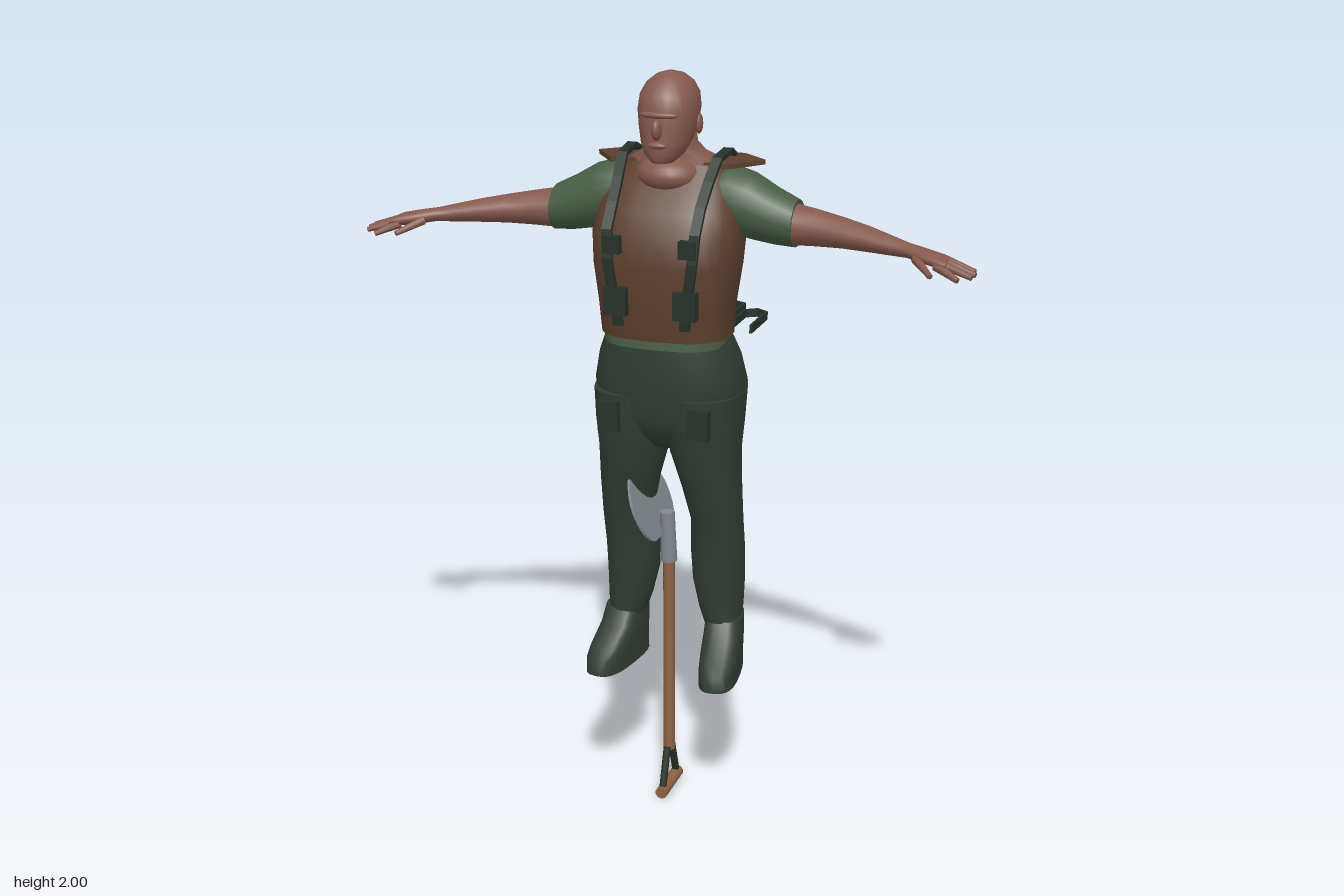
import * as THREE from 'three';

const mat = (name, color) => {
  const m = new THREE.MeshStandardMaterial({ color });
  m.name = name;
  return m;
};

// Skin stitched through rings of n points each, with flat end caps.
function stitch(rings) {
  const n = rings[0].length, pos = [], idx = [];
  rings.forEach(r => r.forEach(p => pos.push(...p)));
  for (let i = 0; i < rings.length - 1; i++) {
    for (let j = 0; j < n; j++) {
      const a = i * n + j, b = i * n + (j + 1) % n;
      idx.push(a, b, a + n, b, b + n, a + n);
    }
  }
  [0, rings.length - 1].forEach((k, end) => {
    const base = pos.length / 3;
    rings[k].forEach(p => pos.push(...p));
    for (let j = 1; j < n - 1; j++) {
      if (end) idx.push(base, base + j, base + j + 1);
      else idx.push(base, base + j + 1, base + j);
    }
  });
  const g = new THREE.BufferGeometry();
  g.setAttribute('position', new THREE.Float32BufferAttribute(pos, 3));
  g.setIndex(idx);
  g.computeVertexNormals();
  return g;
}

// Superellipse sections stacked up y: [y, cx, cz, rx, rz]; e below 1 is boxier.
function loftY(rows, e = 1, n = 24) {
  const pw = v => Math.sign(v) * Math.abs(v) ** e;
  return stitch(rows.map(([y, cx, cz, rx, rz]) => Array.from({ length: n }, (_, j) => {
    const t = j / n * Math.PI * 2;
    return [cx + rx * pw(Math.cos(t)), y, cz - rz * pw(Math.sin(t))];
  })));
}

// Elliptical sections along +x: [x, cy, cz, ry, rz].
function loftX(rows, n = 16) {
  return stitch(rows.map(([x, cy, cz, ry, rz]) => Array.from({ length: n }, (_, j) => {
    const t = j / n * Math.PI * 2;
    return [x, cy - ry * Math.sin(t), cz + rz * Math.cos(t)];
  })));
}

// Flat band following points; w is its width along dir, t its thickness.
function ribbon(points, dir, w, t) {
  const P = points.map(p => new THREE.Vector3(...p)), W = new THREE.Vector3(...dir);
  const g = stitch(P.map((p, i) => {
    const T = P[Math.min(i + 1, P.length - 1)].clone().sub(P[Math.max(i - 1, 0)]).normalize();
    const N = T.clone().cross(W).normalize();
    return [[1, 1], [1, -1], [-1, -1], [-1, 1]].map(([a, b]) =>
      p.clone().addScaledVector(W, a * w / 2).addScaledVector(N, b * t / 2).toArray());
  })).toNonIndexed();
  // corner order runs clockwise about the tangent, so turn the faces outward
  return flip(g);
}

// Reverse the winding of a geometry.
function flip(g) {
  if (!g.index) g.setIndex(Array.from({ length: g.attributes.position.count }, (_, i) => i));
  const a = g.index.array;
  for (let i = 0; i < a.length; i += 3) [a[i + 1], a[i + 2]] = [a[i + 2], a[i + 1]];
  g.computeVertexNormals();
  return g;
}
const mirror = g => flip(g.clone().scale(-1, 1, 1));

// Tapered round rod between two points.
function rod(a, b, r0, r1 = r0, n = 10) {
  const A = new THREE.Vector3(...a), B = new THREE.Vector3(...b), d = B.clone().sub(A);
  const g = new THREE.CylinderGeometry(r1, r0, d.length(), n);
  g.applyQuaternion(new THREE.Quaternion().setFromUnitVectors(new THREE.Vector3(0, 1, 0), d.normalize()));
  return g.translate(...A.add(B).multiplyScalar(0.5).toArray());
}
const box = (w, h, d, x, y, z) => new THREE.BoxGeometry(w, h, d).translate(x, y, z);
const ball = (rx, ry, rz, x, y, z) => new THREE.SphereGeometry(1, 20, 14).scale(rx, ry, rz).translate(x, y, z);

export function createModel() {
  const model = new THREE.Group();
  const skin = mat('skin', 0x85594d), vestBrown = mat('vest brown', 0x5c3f2e);
  const shirt = mat('shirt green', 0x485d44), cloth = mat('trouser green', 0x303d33);
  const web = mat('webbing green', 0x263229), wood = mat('wood', 0x8f6244);
  const metal = mat('metal', 0x80878d);
  web.side = metal.side = THREE.DoubleSide;

  const add = (name, g, m) => {
    const mesh = new THREE.Mesh(g, m);
    mesh.name = name;
    model.add(mesh);
  };
  const pair = (name, g, m) => {
    add(name + 'Left', g, m);
    add(name + 'Right', mirror(g), m);
  };

  // Head, face and neck
  add('head', loftY([
    [1.782, 0, 0.11, 0.028, 0.04], [1.80, 0, 0.098, 0.047, 0.062], [1.83, 0, 0.082, 0.062, 0.078],
    [1.87, 0, 0.066, 0.072, 0.09], [1.91, 0, 0.06, 0.077, 0.094], [1.945, 0, 0.056, 0.073, 0.088],
    [1.973, 0, 0.053, 0.058, 0.068], [1.992, 0, 0.052, 0.034, 0.04], [2.0, 0, 0.052, 0.006, 0.007]], 0.92), skin);
  add('nose', ball(0.013, 0.027, 0.022, 0, 1.868, 0.158), skin);
  add('brow', ball(0.05, 0.011, 0.02, 0, 1.902, 0.14), skin);
  add('mouth', ball(0.025, 0.009, 0.012, 0, 1.828, 0.155), skin);
  pair('ear', ball(0.009, 0.026, 0.017, 0.073, 1.87, 0.045), skin);
  add('neck', loftY([
    [1.74, 0, 0.005, 0.13, 0.085], [1.775, 0, 0.005, 0.118, 0.08], [1.795, 0, 0.022, 0.085, 0.066],
    [1.82, 0, 0.034, 0.064, 0.06], [1.86, 0, 0.04, 0.06, 0.06]]), skin);
  add('upperChest', ball(0.085, 0.05, 0.085, 0, 1.742, 0.055), skin);

  // Vest and shirt hem
  add('vest', loftY([
    [1.335, 0, 0.073, 0.17, 0.12], [1.42, 0, 0.075, 0.176, 0.13], [1.52, 0, 0.07, 0.19, 0.142],
    [1.60, 0, 0.06, 0.195, 0.147], [1.66, 0, 0.035, 0.185, 0.135], [1.72, 0, 0.01, 0.165, 0.108],
    [1.768, 0, -0.005, 0.14, 0.08]], 0.75, 32), vestBrown);
  add('shirtHem', loftY([[1.312, 0, 0.068, 0.164, 0.122], [1.345, 0, 0.07, 0.166, 0.117]], 0.75, 32), shirt);
  const flap = new THREE.Shape([[0.09, -0.06], [0.16, -0.06], [0.225, 0.03], [0.15, 0.1], [0.09, 0.1]]
    .map(p => new THREE.Vector2(...p)));
  pair('shoulderFlap', new THREE.ExtrudeGeometry(flap, { depth: 0.012, bevelEnabled: false })
    .rotateX(-Math.PI / 2).translate(0, 1.762, 0), vestBrown);

  // Sleeves, arms and hands
  pair('sleeve', loftX([
    [0.11, 1.68, 0.015, 0.075, 0.075], [0.16, 1.678, 0.014, 0.086, 0.082], [0.21, 1.664, 0.014, 0.085, 0.08],
    [0.27, 1.642, 0.014, 0.072, 0.073], [0.325, 1.627, 0.015, 0.06, 0.07]], 20), shirt);
  pair('arm', loftX([
    [0.3, 1.627, 0.02, 0.055, 0.058], [0.38, 1.622, 0.027, 0.046, 0.053], [0.45, 1.618, 0.043, 0.038, 0.05],
    [0.52, 1.612, 0.063, 0.031, 0.044], [0.58, 1.606, 0.085, 0.024, 0.034], [0.63, 1.601, 0.103, 0.018, 0.027],
    [0.67, 1.596, 0.122, 0.018, 0.037], [0.715, 1.59, 0.138, 0.016, 0.042], [0.735, 1.586, 0.145, 0.01, 0.036]]), skin);
  [
    [[0.715, 1.59, 0.112], [0.80, 1.568, 0.132]], [[0.72, 1.588, 0.133], [0.805, 1.565, 0.153]],
    [[0.72, 1.586, 0.152], [0.80, 1.563, 0.175]], [[0.71, 1.584, 0.168], [0.77, 1.558, 0.194]],
    [[0.655, 1.59, 0.14], [0.705, 1.565, 0.203]],
  ].forEach(([a, b], i) => pair(i < 4 ? 'finger' + (i + 1) : 'thumb', rod(a, b, 0.012, 0.007, 8), skin));

  // Trousers and boots
  add('trouserSeat', loftY([
    [1.03, 0, 0.055, 0.06, 0.07], [1.07, 0, 0.055, 0.14, 0.105], [1.12, 0, 0.053, 0.188, 0.13],
    [1.20, 0, 0.047, 0.202, 0.146], [1.27, 0, 0.055, 0.188, 0.136], [1.33, 0, 0.066, 0.165, 0.122]], 0.88, 32), cloth);
  pair('trouserLeg', loftY([
    [0.51, 0.137, 0.012, 0.048, 0.066], [0.56, 0.13, 0.01, 0.058, 0.073], [0.64, 0.122, 0.008, 0.069, 0.078],
    [0.72, 0.121, 0.015, 0.071, 0.08], [0.82, 0.125, 0.037, 0.068, 0.076], [0.92, 0.114, 0.05, 0.077, 0.094],
    [1.02, 0.099, 0.057, 0.091, 0.11], [1.10, 0.098, 0.054, 0.098, 0.13], [1.18, 0.096, 0.049, 0.104, 0.14]], 0.9), cloth);
  pair('boot', loftY([
    [0.378, 0, 0.07, 0.053, 0.132], [0.42, 0, 0.07, 0.053, 0.13], [0.445, 0, 0.058, 0.053, 0.116],
    [0.485, 0, 0.027, 0.052, 0.082], [0.53, 0, 0.01, 0.05, 0.066]], 0.7)
    .rotateY(0.14).translate(0.139, 0, 0), cloth);

  // Harness straps over the shoulders
  pair('shoulderStrap', ribbon([
    [0.088, 1.375, 0.203], [0.098, 1.45, 0.214], [0.112, 1.55, 0.218], [0.116, 1.62, 0.207], [0.116, 1.68, 0.163],
    [0.12, 1.735, 0.112], [0.126, 1.785, 0.06], [0.13, 1.795, -0.02], [0.122, 1.76, -0.1], [0.112, 1.69, -0.145],
    [0.1, 1.55, -0.11], [0.092, 1.4, -0.06]], [1, 0, 0], 0.026, 0.012), web);
  add('backCrossStrap', ribbon([[-0.11, 1.6, -0.125], [0, 1.6, -0.105], [0.11, 1.6, -0.125]], [0, 1, 0], 0.02, 0.01), web);
  pair('chestPouch', box(0.045, 0.045, 0.022, 0.1, 1.585, 0.215), web);
  pair('beltPouch', box(0.06, 0.072, 0.03, 0.092, 1.44, 0.21), web);
  pair('thighPouch', box(0.056, 0.08, 0.028, 0.122, 1.125, 0.188), web);

  // Open carrying loops standing out at the back: [x0, x1, y, z start, z end]
  [[-0.165, -0.075, 1.66, -0.09, -0.23], [0, 0.06, 1.6, -0.08, -0.165],
    [0.03, 0.12, 1.335, -0.04, -0.23], [0.14, 0.2, 1.335, 0, -0.165]].forEach(([x0, x1, y, z0, z1], i) => {
    const xm = (x0 + x1) / 2;
    add('carryLoop' + (i + 1), ribbon([[x0, y, z0], [x0, y, z1 + 0.02], [xm, y, z1],
      [x1, y, z1 + 0.02], [x1, y, z0]], [0, 1, 0], 0.022, 0.007), web);
  });

  // Spade, held upside down between the legs
  add('spadeShaft', rod([0, 0.125, 0.07], [0, 0.71, 0.07], 0.016), wood);
  add('spadeGrip', rod([0, 0.018, 0], [0, 0.018, 0.14], 0.017), wood);
  [-1, 1].forEach(s => add(s < 0 ? 'gripArmBack' : 'gripArmFront',
    rod([0, 0.02, 0.07 + s * 0.058], [0, 0.135, 0.07 + s * 0.018], 0.01), web));
  add('spadeSocket', rod([0, 0.69, 0.07], [-0.005, 0.83, 0.07], 0.022, 0.02), metal);
  const blade = new THREE.Shape();
  blade.moveTo(-0.07, 0);
  blade.quadraticCurveTo(-0.125, 0.02, -0.125, 0.1);
  blade.quadraticCurveTo(-0.115, 0.18, 0, 0.22);
  blade.quadraticCurveTo(0.115, 0.18, 0.125, 0.1);
  blade.quadraticCurveTo(0.125, 0.02, 0.07, 0);
  const bladeGeo = new THREE.ExtrudeGeometry(blade, { depth: 0.007, bevelEnabled: false, curveSegments: 8 });
  bladeGeo.rotateY(-Math.PI / 2).rotateZ(0.4).translate(-0.012, 0.77, 0.07);
  add('spadeBlade', bladeGeo, metal);

  return model;
}
